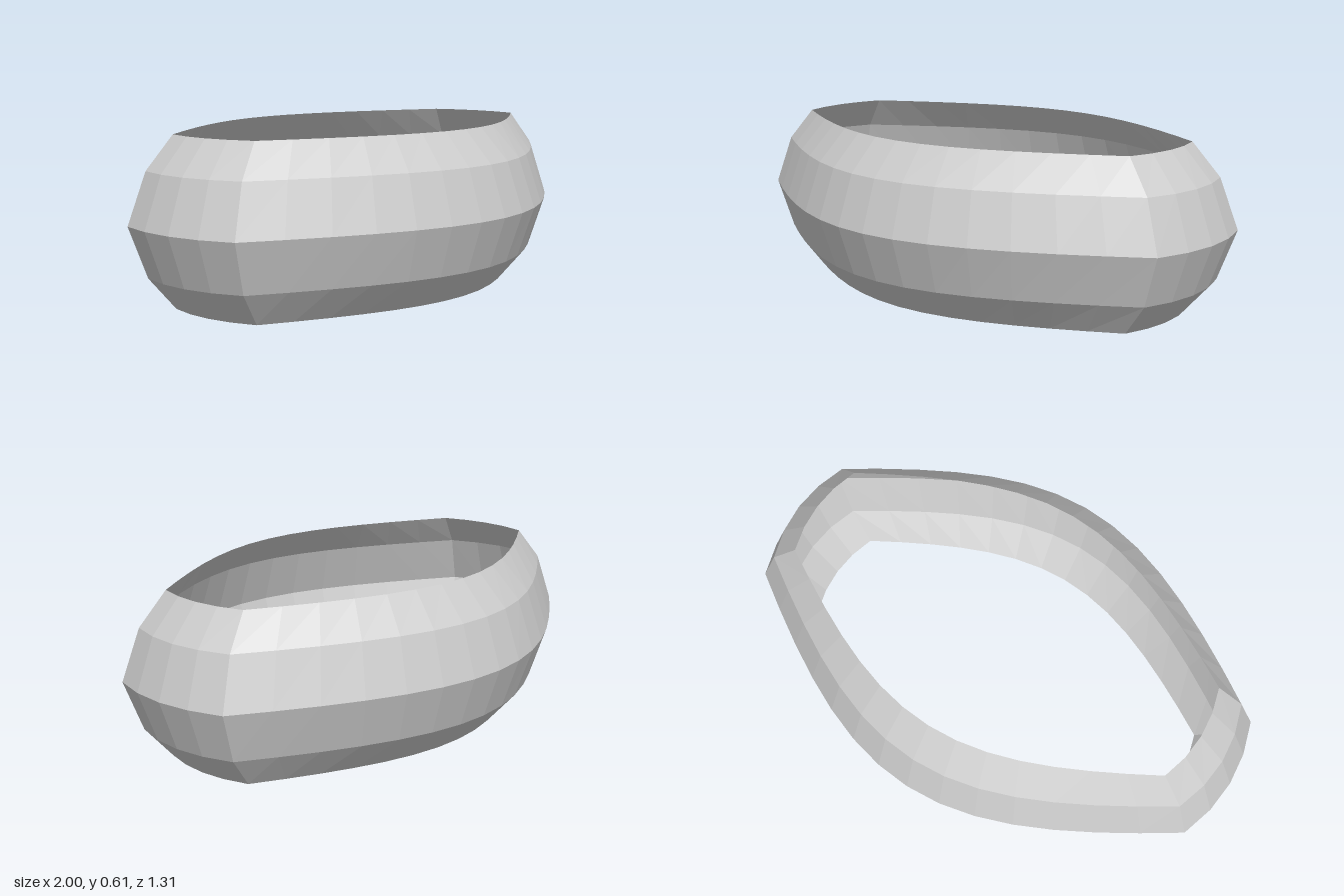
import * as THREE from 'three';

// Each level: height, end x, corner x, corner z, side z
const LEVELS = [
  [0, 0.825, 0.79, 0.19, 0.483],
  [0.12, 0.933, 0.887, 0.224, 0.593],
  [0.305, 1, 0.95, 0.25, 0.655],
  [0.49, 0.933, 0.887, 0.224, 0.593],
  [0.61, 0.825, 0.79, 0.19, 0.483],
];
const SIDE = 14; // facets along each long bowed side
const END = 4; // facets around each short end

// Closed outline of one level: bowed side, short end, then the same turned half round
function outline([y, endX, cornerX, cornerZ, sideZ]) {
  const half = [];
  for (let i = 0; i < SIDE; i++) {
    const t = -1 + (2 * i) / SIDE;
    const bow = 0.8 * (1 - t * t) + 0.1 * (1 + Math.cos(Math.PI * t));
    half.push([t * cornerX, cornerZ + (sideZ - cornerZ) * bow]);
  }
  for (let i = 0; i < END; i++) {
    const t = 1 - (2 * i) / END;
    half.push([cornerX + (endX - cornerX) * (1 - t * t), t * cornerZ]);
  }
  return [...half, ...half.map(([x, z]) => [-x, -z])].map(([x, z]) => [x, y, z]);
}

// Open sheet joining the stacked outlines
function loft(rings) {
  const n = rings[0].length;
  const index = [];
  for (let r = 0; r < rings.length - 1; r++) {
    for (let i = 0; i < n; i++) {
      const j = (i + 1) % n;
      const a = r * n + i, b = r * n + j, c = a + n, d = b + n;
      index.push(a, b, d, a, d, c);
    }
  }
  const geometry = new THREE.BufferGeometry();
  geometry.setAttribute('position', new THREE.Float32BufferAttribute(rings.flat(2), 3));
  geometry.setIndex(index);
  geometry.computeVertexNormals();
  return geometry;
}

export function createModel() {
  const group = new THREE.Group();
  group.name = 'facetedRing';
  const material = new THREE.MeshStandardMaterial({
    color: 0xcccccc,
    flatShading: true,
    side: THREE.DoubleSide,
  });
  const band = new THREE.Mesh(loft(LEVELS.map(outline)), material);
  band.name = 'bulgedBand';
  group.add(band);
  return group;
}
